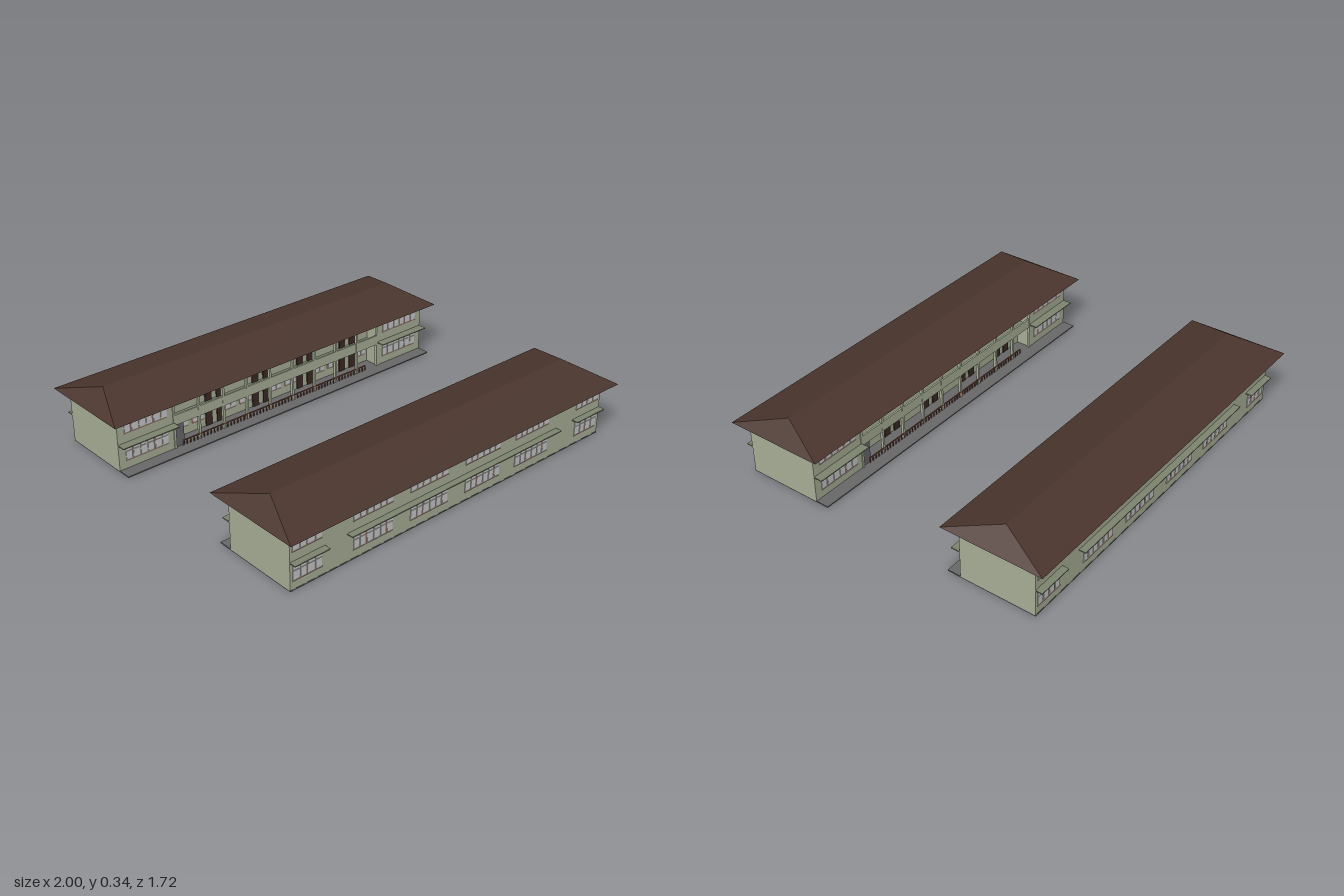
import * as THREE from 'three';

const material = (name, color, side = THREE.FrontSide) => {
  const m = new THREE.MeshStandardMaterial({ color, side });
  m.name = name;
  return m;
};
const wall = material('sageWall', 0xa9b097);
const roofBrown = material('roofBrown', 0x4a352d);
const concrete = material('concreteGrey', 0x68686a);
const ledgeGreen = material('ledgeGreen', 0x7d8570);
const pane = material('paleGlass', 0xc9c9cb);
const pink = material('pinkFrame', 0xd8aa9a);
const doorBrown = material('doorBrown', 0x3b2a24);
const railRed = material('railRed', 0x7a4a3c);

function box(parent, name, mat, x0, x1, y0, y1, z0, z1) {
  const mesh = new THREE.Mesh(new THREE.BoxGeometry(x1 - x0, y1 - y0, z1 - z0), mat);
  mesh.position.set((x0 + x1) / 2, (y0 + y1) / 2, (z0 + z1) / 2);
  mesh.name = name;
  parent.add(mesh);
  return mesh;
}

// Hipped roof with a closed underside
function hipRoof() {
  const X = 1, Z = 0.258, R = 0.89, lo = 0.27, hi = 0.342;
  const a = [-X, lo, Z], b = [X, lo, Z], c = [X, lo, -Z], d = [-X, lo, -Z];
  const e = [-R, hi, 0], f = [R, hi, 0];
  const faces = [a, b, f, a, f, e, c, d, e, c, e, f, b, c, f, d, a, e, a, d, c, a, c, b];
  const geo = new THREE.BufferGeometry();
  geo.setAttribute('position', new THREE.Float32BufferAttribute(faces.flat(), 3));
  geo.computeVertexNormals();
  const mesh = new THREE.Mesh(geo, roofBrown);
  mesh.name = 'roof';
  return mesh;
}

// A row of casements with a transom; dir tells which way the wall faces
function windowRow(parent, x0, x1, y0, y1, z, dir, count) {
  const row = new THREE.Group();
  row.name = 'windowRow';
  const step = (x1 - x0) / count, transom = y0 + (y1 - y0) * 0.64;
  const plate = (name, mat, a, b, c, d, t) =>
    box(row, name, mat, a, b, c, d, Math.min(z, z + dir * t), Math.max(z, z + dir * t));
  for (let i = 0; i < count; i++) {
    const a = x0 + i * step + 0.004, b = x0 + (i + 1) * step - 0.004;
    plate('lowerPane', pane, a, b, y0, transom - 0.002, 0.003);
    plate('upperPane', pane, a, b, transom + 0.002, y1, 0.003);
    if (i % 3 === 1) plate('mullion', pink, b + 0.002, b + 0.006, y0, y1, 0.004);
  }
  plate('sill', pink, x0 + 0.002, x1 - 0.002, y0 - 0.004, y0 - 0.001, 0.004);
  parent.add(row);
}

// One long two-storey block: closed side at +z, open gallery at -z
function building() {
  const g = new THREE.Group();
  const W = 0.955, D = 0.193, G = 0.645, recess = -0.115, mid = 0.14;

  // Walls with the gallery cut out of the plan
  const plan = new THREE.Shape(
    [[-W, -D], [W, -D], [W, D], [G, D], [G, -recess], [-G, -recess], [-G, D], [-W, D]]
      .map(([x, y]) => new THREE.Vector2(x, y)));
  const geo = new THREE.ExtrudeGeometry(plan, { depth: 0.267, bevelEnabled: false });
  geo.rotateX(-Math.PI / 2);
  const walls = new THREE.Mesh(geo, wall);
  walls.position.y = 0.004;
  walls.name = 'walls';
  g.add(walls, hipRoof());
  box(g, 'groundSlab', concrete, -W, W, 0, 0.006, -0.26, D + 0.001);

  // Windows and ledges on the closed side
  const groups = [[-0.945, -0.785, 4], [-0.622, -0.395, 6], [-0.297, -0.068, 6],
    [0.036, 0.262, 6], [0.36, 0.587, 6], [0.778, 0.937, 4]];
  for (const y of [0.05, 0.19])
    for (const [a, b, n] of groups) windowRow(g, a, b, y, y + 0.072, D, 1, n);
  for (const [a, b] of [[-W, -0.77], [-0.652, 0.645], [0.76, W]])
    box(g, 'ledge', ledgeGreen, a, b, mid - 0.004, mid + 0.001, D, 0.226);

  // End rooms on the gallery side
  for (const s of [-1, 1]) {
    const a = s < 0 ? -W : G, b = s < 0 ? -G : W;
    box(g, 'innerLedge', ledgeGreen, a, b, mid - 0.004, mid + 0.001, -0.238, -D);
    for (const y of [0.05, 0.19])
      windowRow(g, a + 0.035, b - 0.035, y, y + 0.072, -D, -1, 6);
  }

  // Gallery floor, parapet, eaves beam and columns
  box(g, 'galleryFloor', ledgeGreen, -G, G, mid - 0.01, mid, -D, recess);
  box(g, 'parapet', wall, -G, G, mid - 0.012, mid + 0.04, -D - 0.003, -D + 0.006);
  box(g, 'eavesBeam', wall, -G, G, 0.25, 0.27, -D, -D + 0.012);
  const bays = 9, bay = (2 * G) / bays;
  for (let i = 0; i <= bays; i++) {
    const x = -G + i * bay;
    box(g, 'column', wall, x - 0.006, x + 0.006, 0.005, 0.27, -D - 0.004, -D + 0.01);
  }

  // Doors and windows at the back of the gallery
  for (const y of [0.006, mid])
    for (let i = 0; i < bays; i++) {
      const x = -G + i * bay, doorX = i % 2 ? x + 0.014 : x + bay - 0.054;
      const winX = i % 2 ? x + 0.062 : x + 0.012;
      box(g, 'door', doorBrown, doorX, doorX + 0.04, y, y + 0.098, recess - 0.005, recess);
      windowRow(g, winX, winX + 0.07, y + 0.045, y + 0.1, recess, -1, 2);
    }

  // Low railing along the ground floor
  box(g, 'railTop', railRed, -0.56, 0.6, 0.03, 0.035, -D - 0.005, -D);
  for (let i = 0; i <= 58; i++) {
    const x = -0.56 + i * 0.02;
    box(g, 'railPost', railRed, x - 0.003, x + 0.003, 0.006, 0.03, -D - 0.004, -D - 0.001);
  }

  // Stair screen at one end of the gallery
  box(g, 'stairScreen', concrete, 0.59, G, 0.006, 0.128, -D + 0.004, -D + 0.01);
  return g;
}

export function createModel() {
  const model = new THREE.Group();
  model.name = 'twinBlocks';
  // Two blocks face each other across a courtyard
  const front = building();
  front.name = 'frontBlock';
  front.position.z = 0.604;
  const back = building();
  back.name = 'backBlock';
  back.rotation.y = Math.PI;
  back.position.z = -0.604;
  model.add(front, back);
  return model;
}
